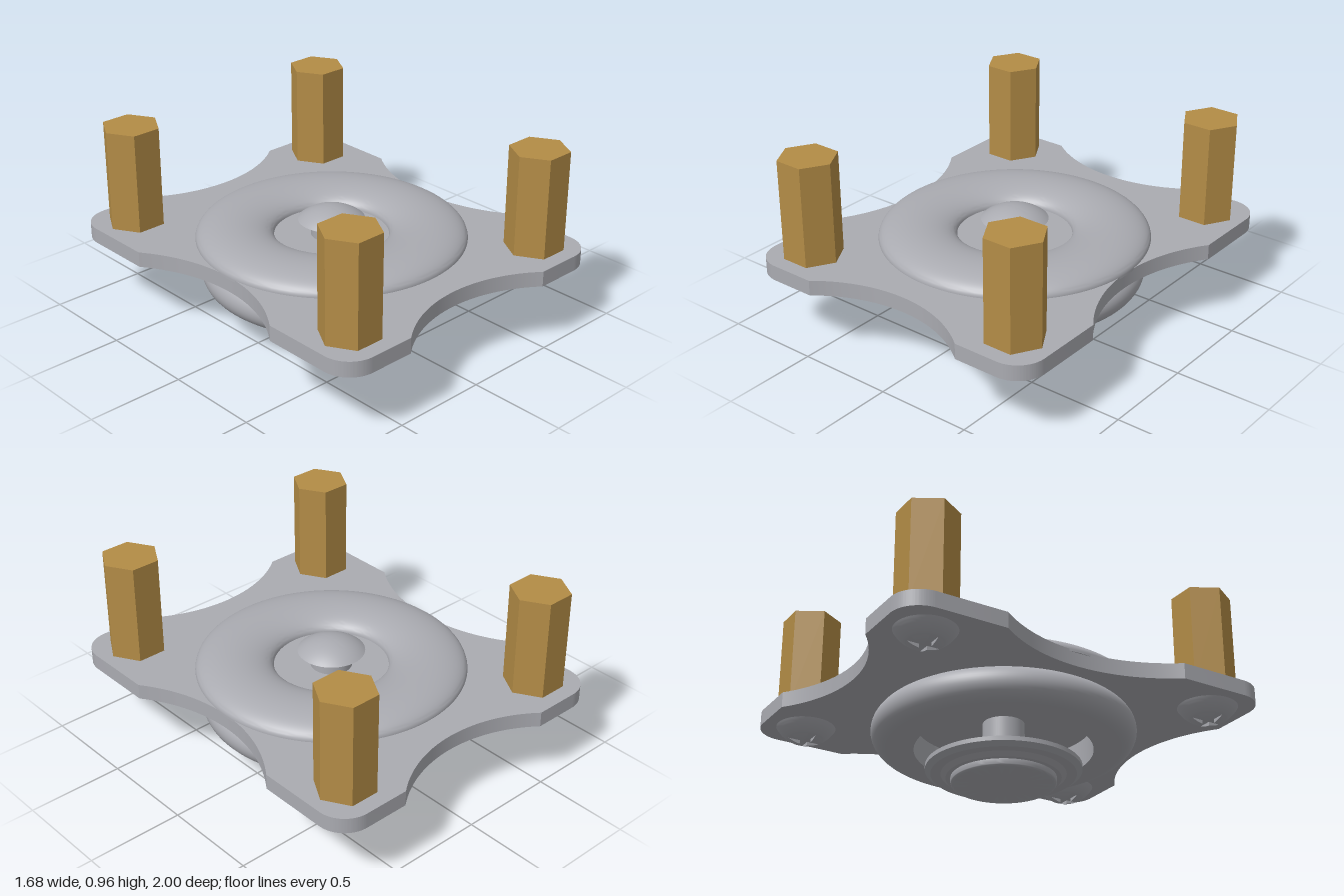
import * as THREE from 'three';
import { toCreasedNormals } from 'three/addons/utils/BufferGeometryUtils.js';

const steel = new THREE.MeshStandardMaterial({ name: 'grey steel', color: 0xaaabb1 });
const brass = new THREE.MeshStandardMaterial({ name: 'brass', color: 0xb38c46 });

const mesh = (name, geometry, material = steel) => {
  const m = new THREE.Mesh(geometry, material);
  m.name = name;
  return m;
};

// Smooth turned part; the profile runs from the bottom axis point to the top one
const turned = (points, segments = 72) => toCreasedNormals(
  new THREE.LatheGeometry(points.map(([r, y]) => new THREE.Vector2(r, y)), segments).toNonIndexed(), 0.6);

// Points on an elliptical arc of a profile
const arc = (r, y, a, b, from, to, n) => Array.from({ length: n + 1 }, (_, i) => {
  const t = from + (to - from) * i / n;
  return [r + a * Math.cos(t), y + b * Math.sin(t)];
});

// Plate outline: rounded corners with a shallow scallop in each side
function plateGeometry() {
  const X = 0.84, Z = 1, c = 0.15, P = Math.PI;
  const s = new THREE.Shape();
  const scallop = (edge, half, sag, angle) => {
    const R = (half * half + sag * sag) / (2 * sag), d = edge - sag + R;
    const h = Math.asin(half / R), mid = angle + P;
    s.absarc(d * Math.cos(angle), d * Math.sin(angle), R, mid + h, mid - h, true);
  };
  s.moveTo(X, -Z + c);
  scallop(X, 0.49, 0.16, 0);
  s.absarc(X - c, Z - c, c, 0, P / 2, false);
  scallop(Z, 0.455, 0.16, P / 2);
  s.absarc(-X + c, Z - c, c, P / 2, P, false);
  scallop(X, 0.49, 0.16, P);
  s.absarc(-X + c, -Z + c, c, P, P * 1.5, false);
  scallop(Z, 0.455, 0.16, P * 1.5);
  s.absarc(X - c, -Z + c, c, P * 1.5, P * 2, false);
  s.closePath();
  s.holes.push(new THREE.Path().absarc(0, 0, 0.56, 0, P * 2, true));
  const g = new THREE.ExtrudeGeometry(s, { depth: 0.08, bevelEnabled: false, curveSegments: 32 });
  g.rotateX(-P / 2).translate(0, 0.36, 0);
  return toCreasedNormals(g, 0.3);
}

// Screw dome: spherical cap, built pointing up
const HEAD_R = 0.15, HEAD_H = 0.086, SLOT = 0.02, DEPTH = 0.022;
const SPHERE = (HEAD_R ** 2 + HEAD_H ** 2) / (2 * HEAD_H);
const domeY = r => HEAD_H - SPHERE + Math.sqrt(SPHERE ** 2 - r * r);
const domeR = y => Math.sqrt(SPHERE ** 2 - (y - HEAD_H + SPHERE) ** 2);

// One quarter of the dome's tip, with upright walls facing the cross slot
function quarterTip() {
  const floor = HEAD_H - DEPTH, r0 = SLOT * Math.SQRT2, r1 = domeR(floor);
  const rings = 6, n = 8, pos = [], idx = [], row = n + 3;
  for (let i = 0; i <= rings; i++) {
    const r = r0 + (r1 - r0) * i / rings;
    const a0 = Math.asin(SLOT / r), a1 = Math.PI / 2 - a0;
    for (let j = -1; j <= n + 1; j++) {
      const a = a0 + (a1 - a0) * Math.min(Math.max(j, 0), n) / n;
      const wall = j < 0 || j > n;
      pos.push(r * Math.cos(a), wall ? floor : domeY(r), r * Math.sin(a));
    }
  }
  for (let i = 0; i < rings; i++) for (let j = 0; j < row - 1; j++) {
    const a = i * row + j, b = a + row;
    idx.push(a, a + 1, b, b, a + 1, b + 1);
  }
  const g = new THREE.BufferGeometry();
  g.setAttribute('position', new THREE.Float32BufferAttribute(pos, 3));
  g.setIndex(idx);
  return toCreasedNormals(g.toNonIndexed(), 0.5);
}

function screwHead() {
  const head = new THREE.Group();
  head.name = 'screwHead';
  const floor = HEAD_H - DEPTH, profile = [[0, 0]];
  for (let i = 0; i <= 10; i++) {
    const y = floor * i / 10;
    profile.push([domeR(y), y]);
  }
  profile.push([0, floor]);
  head.add(mesh('screwDome', turned(profile, 40)));
  const tip = quarterTip();
  for (let q = 0; q < 4; q++) {
    const m = mesh('screwTipQuarter', tip);
    m.rotation.y = q * Math.PI / 2;
    head.add(m);
  }
  head.rotation.x = Math.PI; // points down under the plate
  return head;
}

export function createModel() {
  const model = new THREE.Group();
  model.name = 'dampedMount';
  const P = Math.PI;

  model.add(mesh('plate', plateGeometry()));

  // Grommet: hollow rounded lower ring, dished upper ring
  model.add(mesh('grommet', turned([
    [0, 0.325], [0.445, 0.325], [0.445, 0.18],
    ...arc(0.57, 0.27, 0.09, 0.09, -P / 2, P / 2, 20),
    [0.57, 0.43], [0.685, 0.43],
    ...arc(0.4875, 0.44, 0.1975, 0.082, 0, P, 36),
    [0, 0.44],
  ], 96)));

  // Central pin with its domed cap
  const pin = new THREE.CylinderGeometry(0.105, 0.105, 0.44, 48).translate(0, 0.305, 0);
  model.add(mesh('pin', pin));
  const capR = (0.17 ** 2 + 0.062 ** 2) / (2 * 0.062), capA = Math.asin(0.17 / capR);
  model.add(mesh('pinCap', turned([
    [0, 0.523], ...arc(0, 0.585 - capR, capR, capR, P / 2 - capA, P / 2, 12),
  ], 48)));

  // Stepped foot
  model.add(mesh('foot', turned([
    [0, 0], [0.245, 0],
    ...arc(0.245, 0.015, 0.017, 0.015, -P / 2, 0, 5),
    [0.262, 0.035], [0.285, 0.035], [0.31, 0.055],
    [0.36, 0.055], [0.388, 0.075], [0.388, 0.097], [0, 0.097],
  ])));

  // Hexagonal standoffs above and screw heads below each corner
  const hex = new THREE.CylinderGeometry(0.15, 0.15, 0.525, 6).rotateY(P / 6).toNonIndexed();
  hex.computeVertexNormals();
  for (const x of [-0.63, 0.63]) for (const z of [-0.79, 0.79]) {
    const post = mesh('standoff', hex, brass);
    post.position.set(x, 0.7025, z);
    const screw = screwHead();
    screw.position.set(x, 0.361, z);
    model.add(post, screw);
  }
  return model;
}
